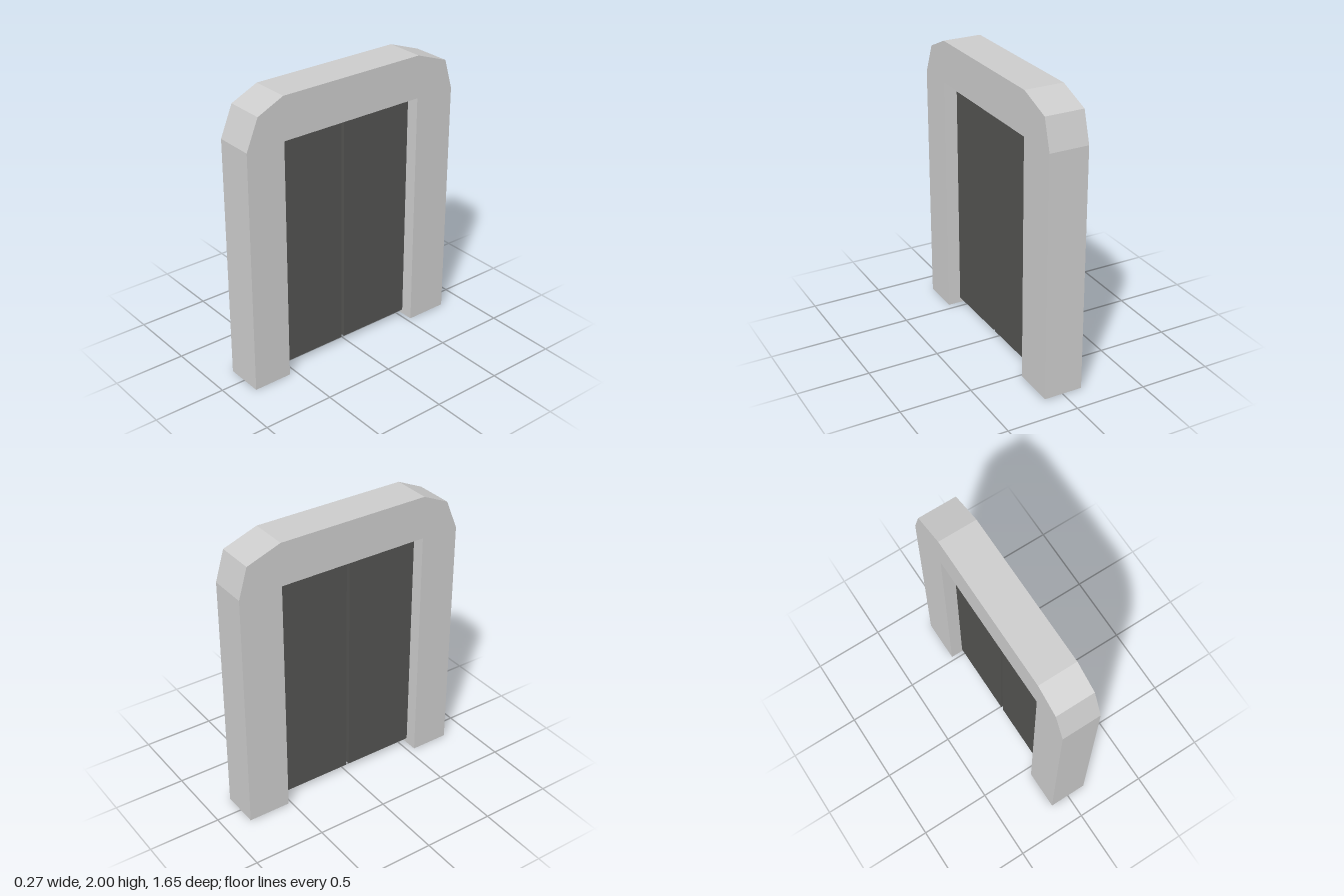
import * as THREE from 'three';

const DEPTH = 0.27;
const DOOR_DEPTH = 0.09;
const OPENING = { back: -0.525, front: 0.55, top: 1.705 };

// Extrudes a (z, y) outline along x, centred on x = 0
function extrudeAcross(points, depth) {
  const shape = new THREE.Shape(points.map(([z, y]) => new THREE.Vector2(z, y)));
  const geometry = new THREE.ExtrudeGeometry(shape, { depth, bevelEnabled: false });
  return geometry.translate(0, 0, -depth / 2).rotateY(-Math.PI / 2);
}

export function createModel() {
  const model = new THREE.Group();
  model.name = 'doorway';

  const frameMaterial = new THREE.MeshStandardMaterial({ color: 0xcccccc, flatShading: true });
  const doorMaterial = new THREE.MeshStandardMaterial({ color: 0x535351, flatShading: true });

  // Arch frame with chamfered shoulders, open at the bottom
  const { back, front, top } = OPENING;
  const frame = new THREE.Mesh(extrudeAcross([
    [back, 0.007], [back, top], [front, top], [front, 0],
    [0.825, 0], [0.825, 1.705], [0.738, 1.914], [0.55, 2],
    [-0.525, 2], [-0.763, 1.914], [-0.825, 1.705], [-0.825, 0.007],
  ].reverse(), DEPTH), frameMaterial);
  frame.name = 'archFrame';
  model.add(frame);

  // Two recessed sliding panels with a narrow gap between them
  const bottom = 0.037;
  for (const [name, z0, z1] of [['frontDoor', 0.036, front], ['backDoor', back, 0.015]]) {
    const door = new THREE.Mesh(
      new THREE.BoxGeometry(DOOR_DEPTH, top - bottom, z1 - z0), doorMaterial);
    door.position.set(0, (top + bottom) / 2, (z0 + z1) / 2);
    door.name = name;
    model.add(door);
  }

  return model;
}
